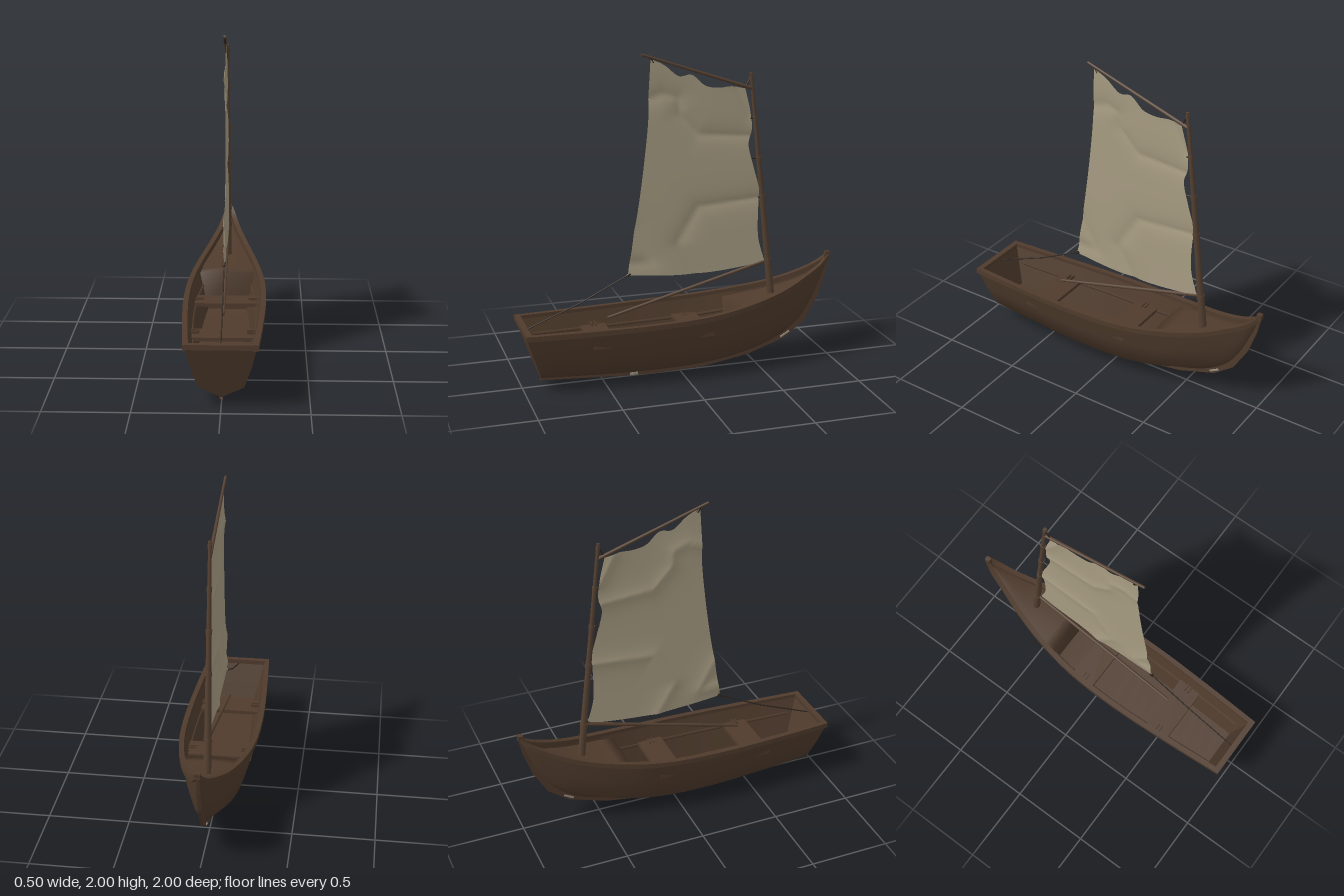
import * as THREE from 'three';

const V = (x, y, z) => new THREE.Vector3(x, y, z);
const mat = (name, color, open) => {
  const m = new THREE.MeshStandardMaterial({ color });
  m.name = name;
  if (open) m.side = THREE.DoubleSide;
  return m;
};

// Skin a surface over rows of points
function loft(rows, flat = false) {
  const n = rows[0].length, idx = [];
  for (let i = 0; i < rows.length - 1; i++)
    for (let j = 0; j < n - 1; j++) {
      const a = i * n + j, b = a + n;
      idx.push(a, b, a + 1, b, b + 1, a + 1);
    }
  let g = new THREE.BufferGeometry().setFromPoints(rows.flat());
  g.setIndex(idx);
  if (flat) g = g.toNonIndexed();
  g.computeVertexNormals();
  return g;
}

// Hull lines from stern to bow: sheer, chine and keel
const curve = (pts) => new THREE.CatmullRomCurve3(pts.map((p) => V(...p)));
const sheer = curve([[0.2, 0.385, 1], [0.225, 0.385, 0.6], [0.24, 0.39, 0.2], [0.228, 0.405, -0.15],
  [0.185, 0.44, -0.42], [0.125, 0.49, -0.65], [0.065, 0.56, -0.83], [0.035, 0.615, -0.93], [0.01, 0.665, -0.985]]);
const chine = curve([[0.13, 0.12, 0.91], [0.15, 0.107, 0.55], [0.165, 0.1, 0.2], [0.155, 0.11, -0.15],
  [0.12, 0.15, -0.42], [0.075, 0.22, -0.63], [0.04, 0.31, -0.78], [0.02, 0.43, -0.88], [0.008, 0.56, -0.95]]);
const keel = curve([[0, 0.05, 0.885], [0, 0.03, 0.53], [0, 0.02, 0.2], [0, 0.03, -0.15],
  [0, 0.075, -0.43], [0, 0.15, -0.65], [0, 0.255, -0.8], [0, 0.41, -0.9], [0, 0.56, -0.955]]);
const flip = (p) => V(-p.x, p.y, p.z);
const steps = (a, b, n, f) => Array.from({ length: n + 1 }, (_, i) => f(a + ((b - a) * i) / n));

// One side of a hull section, from sheer down to keel
function side(t) {
  const s = sheer.getPoint(t), c = chine.getPoint(t), m = s.clone().lerp(c, 0.5);
  m.x += 0.006;
  return [s, m, c, keel.getPoint(t)];
}
const innerSheer = (t) => {
  const p = sheer.getPoint(t);
  return V(Math.max(p.x - 0.02, 0.002), p.y, p.z);
};
const innerChine = (t) => {
  const p = chine.getPoint(t);
  return V(Math.max(p.x - 0.012, 0.002), p.y + 0.025, p.z - 0.01);
};

// Sail wrinkles, as lines in the (z, y) plane
const creases = [
  [[0.19, 1.73], [0.1, 1.76], [0.01, 1.73], [0, 1.63], [-0.12, 1.5], [-0.47, 1.47]],
  [[-0.52, 1.08], [-0.12, 1.05], [0.02, 0.82], [-0.1, 0.62]],
  [[0.29, 0.93], [0.18, 0.73], [0.33, 0.72]],
  [[-0.36, 1.77], [-0.45, 1.6]],
].map((l) => l.map((p) => V(0, p[1], p[0])));
function wrinkle(z, y) {
  const p = V(0, y, z), q = V(0, 0, 0);
  let h = 0;
  for (const line of creases) {
    let d = 9;
    for (let i = 0; i < line.length - 1; i++) {
      new THREE.Line3(line[i], line[i + 1]).closestPointToPoint(p, true, q);
      d = Math.min(d, q.distanceTo(p));
    }
    h += 0.014 * Math.exp(-d / 0.05);
  }
  return 0.006 - h;
}

export function createModel() {
  const group = new THREE.Group();
  const wood = mat('hull wood', 0x4f3b2c, true);
  const spar = mat('spar wood', 0x544031);
  const cloth = mat('sail cloth', 0xa89d83, true);
  const rope = mat('rope', 0x2e2620);
  const worn = mat('worn patch', 0x9a8e80);
  const add = (name, geo, m) => {
    const mesh = new THREE.Mesh(geo, m);
    mesh.name = name;
    group.add(mesh);
    return mesh;
  };
  const rod = (name, a, b, r0, r1, m = spar) => {
    const mesh = add(name, new THREE.CylinderGeometry(r1, r0, a.distanceTo(b), 10), m);
    mesh.position.copy(a).lerp(b, 0.5);
    mesh.quaternion.setFromUnitVectors(V(0, 1, 0), b.clone().sub(a).normalize());
    return mesh;
  };
  const box = (name, w, h, d, x, y, z, m = wood) =>
    add(name, new THREE.BoxGeometry(w, h, d), m).position.set(x, y, z);

  // Outer hull
  add('hull', loft(steps(0, 1, 32, (t) => {
    const s = side(t);
    return [...s, ...s.slice(0, 3).reverse().map(flip)];
  })), wood);

  // Transom, outer and inner faces, with its top rail
  const stern = side(0);
  add('transom', loft([stern, stern.map(flip)]), wood);
  const inner = stern.map((p) => V(p.x, p.y, p.z - 0.03));
  add('transomInside', loft([inner.map(flip), inner]), wood);
  box('transomRail', 0.42, 0.03, 0.035, 0, 0.386, 0.983);

  // Inner planking, gunwales and seat risers on both sides
  for (const k of [1, -1]) {
    const S = (p) => (k > 0 ? p : flip(p));
    add('innerPlanking', loft(steps(0, 0.5, 16, (t) => [S(innerSheer(t)), S(innerChine(t))])), wood);
    add('gunwale', loft(steps(0, 1, 32, (t) => {
      const p = sheer.getPoint(t), i = Math.max(p.x - 0.022, 0);
      return [[p.x + 0.01, 0.015], [p.x + 0.01, -0.017], [i, -0.017], [i, 0.015], [p.x + 0.01, 0.015]]
        .map(([x, dy]) => S(V(x, p.y + dy, p.z)));
    }), true), wood);
    const path = new THREE.CatmullRomCurve3(steps(0.02, 0.46, 10, (t) => S(innerSheer(t).lerp(innerChine(t), 0.42))));
    add('seatRiser', new THREE.TubeGeometry(path, 24, 0.01, 5), wood);
    // Brackets at the seat ends
    for (const z of [-0.08, 0.51])
      for (const dz of [-0.01, 0.015]) box('seatBracket', 0.06, 0.02, 0.008, k * 0.17, 0.305, z + dz);
  }

  // Floor boards, foredeck with bulkhead
  add('floor', loft(steps(0, 0.5, 16, (t) => [innerChine(t), flip(innerChine(t))])), wood);
  const deckRow = (t) => {
    const p = innerSheer(t);
    return [V(p.x, p.y - 0.03, p.z), V(0, p.y - 0.02, p.z), V(-p.x, p.y - 0.03, p.z)];
  };
  const foot = deckRow(0.46).map((p) => V(p.x * 0.7, 0.14, p.z));
  add('foredeck', loft([foot, ...steps(0.46, 1, 16, deckRow)]), wood);

  // Seats
  box('middleSeat', 0.42, 0.022, 0.16, 0, 0.295, -0.08);
  box('rearSeat', 0.41, 0.022, 0.16, 0, 0.285, 0.515);

  // Keel and stem
  const outline = [[0.89, 0.04], [0.4, 0.01], [0.2, 0], [-0.15, 0.01], [-0.45, 0.06], [-0.7, 0.145],
    [-0.83, 0.245], [-0.92, 0.4], [-0.97, 0.55], [-1, 0.69], [-0.965, 0.69], [-0.935, 0.55], [-0.88, 0.42],
    [-0.79, 0.28], [-0.66, 0.19], [-0.43, 0.1], [-0.15, 0.05], [0.2, 0.04], [0.88, 0.07]];
  const keelGeo = new THREE.ExtrudeGeometry(new THREE.Shape(outline.map((p) => new THREE.Vector2(...p))),
    { depth: 0.02, bevelEnabled: false });
  keelGeo.rotateY(-Math.PI / 2).translate(0.01, 0, 0);
  add('keel', keelGeo, wood);
  box('stemHead', 0.03, 0.035, 0.03, 0, 0.675, -0.982);
  box('keelPatch', 0.024, 0.018, 0.05, 0, 0.016, 0.3, worn);
  rod('stemPatch', V(0, 0.15, -0.67), V(0, 0.185, -0.73), 0.013, 0.013, worn);

  // Mast with bands
  const mastAt = (y) => V(0, y, -0.605 + ((y - 0.42) * 0.155) / 1.44);
  rod('mast', mastAt(0.4), mastAt(1.86), 0.024, 0.01);
  for (const [y, r] of [[0.665, 0.025], [1.08, 0.021], [1.33, 0.019], [1.58, 0.016], [1.83, 0.013]])
    rod('mastBand', mastAt(y - 0.014), mastAt(y + 0.014), r, r);

  // Boom and yard
  rod('boom', V(0, 0.67, -0.57), V(0, 0.395, 0.46), 0.012, 0.009);
  rod('yard', V(0, 1.765, -0.455), V(0, 1.995, 0.23), 0.011, 0.008);

  // Sail
  const aft = curve([[0, 0.655, 0.33], [0, 0.92, 0.287], [0, 1.15, 0.25], [0, 1.4, 0.217], [0, 1.62, 0.195],
    [0, 1.8, 0.19], [0, 1.97, 0.18]]);
  const luff = curve([[0, 0.665, -0.555], [0, 0.83, -0.51], [0, 1.04, -0.51], [0, 1.12, -0.515], [0, 1.27, -0.475],
    [0, 1.42, -0.44], [0, 1.5, -0.46], [0, 1.6, -0.455], [0, 1.765, -0.415]]);
  const head = curve([[0, 0, 0], [0, -0.012, 0.13], [0, -0.05, 0.25], [0, -0.018, 0.43], [0, -0.058, 0.63],
    [0, -0.045, 0.78], [0, -0.012, 0.92], [0, 0, 1]]);
  add('sail', loft(steps(0, 1, 64, (v) => steps(0, 1, 44, (u) => {
    const p = aft.getPoint(v).lerp(luff.getPoint(v), u);
    p.y += head.getPoint(u).y * v ** 4 - 0.035 * Math.sin(Math.PI * u) * (1 - v) ** 3;
    p.x = wrinkle(p.z, p.y);
    return p;
  }))), cloth);

  // Sheet line to the stern, and lashings
  const line = [V(0, 0.66, 0.32), V(0, 0.51, 0.62), V(0, 0.405, 0.88), V(0, 0.37, 0.965)];
  for (let i = 0; i < 3; i++) rod('sheetLine', line[i], line[i + 1], 0.004, 0.004, rope);
  rod('clewKnot', V(0, 0.65, 0.335), V(0, 0.665, 0.315), 0.009, 0.009, rope);
  rod('yardLashing', V(0, 1.84, -0.452), V(0, 1.78, -0.42), 0.005, 0.005, rope);
  rod('peakLashing', V(0, 1.945, 0.16), V(0, 1.975, 0.18), 0.007, 0.007, rope);
  rod('tackLashing', mastAt(0.68), V(0, 0.675, -0.545), 0.006, 0.006, rope);
  for (const [y, z] of [[1.08, -0.51], [1.33, -0.46], [1.58, -0.452]])
    rod('sailTie', mastAt(y), V(0, y, z), 0.005, 0.005, rope);
  return group;
}
